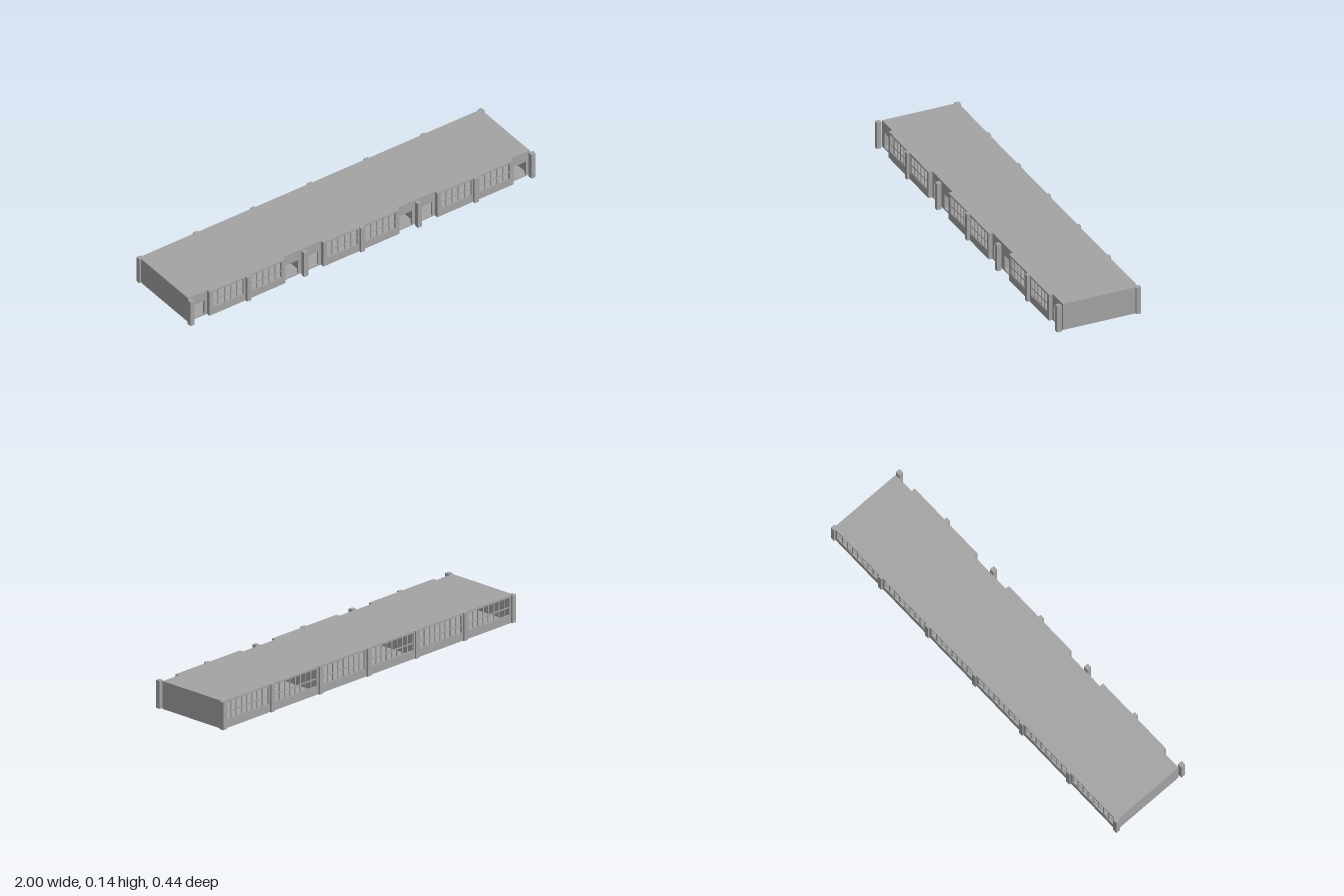
import * as THREE from 'three';

const H = 0.14;          // overall height
const SLAB = 0.006;      // floor and roof thickness
const WALL = 0.01;       // wall thickness
const PITCH = 0.0356;    // window pane spacing
const BAR = 0.006;       // glazing bar width
const SILL = 0.04, HEAD = 0.131, TRANSOM = 0.079;
const UNIT = 0.66;       // width of one building unit
const FRONT = 0.205, RECESS = 0.185, BACK = -0.21;

const grey = new THREE.MeshStandardMaterial({ color: 0xa3a3a3 });
grey.name = 'plain grey';

function add(parent, name, geometry, x = 0, y = 0, z = 0) {
  const mesh = new THREE.Mesh(geometry, grey);
  mesh.name = name;
  mesh.position.set(x, y, z);
  parent.add(mesh);
  return mesh;
}

function box(parent, name, x0, x1, y0, y1, z0, z1) {
  return add(parent, name, new THREE.BoxGeometry(x1 - x0, y1 - y0, z1 - z0),
    (x0 + x1) / 2, (y0 + y1) / 2, (z0 + z1) / 2);
}

function trace(path, points) {
  path.setFromPoints(points.map(([x, y]) => new THREE.Vector2(x, y)));
  return path;
}

const rect = (x0, x1, y0, y1) => [[x0, y0], [x1, y0], [x1, y1], [x0, y1]];

// Upright wall with rectangular openings, z being its rear face
function wall(parent, name, x0, x1, z, openings) {
  const shape = trace(new THREE.Shape(), rect(x0, x1, SLAB, H - SLAB));
  for (const o of openings) shape.holes.push(trace(new THREE.Path(), rect(...o)));
  add(parent, name, new THREE.ExtrudeGeometry(shape, { depth: WALL, bevelEnabled: false }), 0, 0, z);
}

// Thin two-row grid of panes set into an opening
function windowFrame(parent, name, x0, columns, z) {
  const x1 = x0 + columns * PITCH;
  const shape = trace(new THREE.Shape(), rect(x0, x1, SILL, HEAD));
  for (let i = 0; i < columns; i++) {
    const a = x0 + i * PITCH + BAR / 2, b = a + PITCH - BAR;
    for (const [low, high] of [[SILL + BAR / 2, TRANSOM - BAR / 2], [TRANSOM + BAR / 2, HEAD - BAR / 2]]) {
      shape.holes.push(trace(new THREE.Path(), rect(a, b, low, high)));
    }
  }
  add(parent, name, new THREE.ExtrudeGeometry(shape, { depth: 0.004, bevelEnabled: false }), 0, 0, z);
}

// One symmetrical unit: two window bays between two recessed entrances
function makeUnit(index) {
  const unit = new THREE.Group();
  unit.name = 'buildingUnit';
  const inner = 0.0225;
  const frontEnd = inner + 5 * PITCH, backEnd = inner + 8 * PITCH;

  wall(unit, 'frontWall', -0.22, 0.22, FRONT - WALL,
    [[-frontEnd, -inner, SILL, HEAD], [inner, frontEnd, SILL, HEAD]]);
  wall(unit, 'backWall', -UNIT / 2, UNIT / 2, BACK,
    [[-backEnd, -inner, SILL, HEAD], [inner, backEnd, SILL, HEAD]]);

  for (const s of [-1, 1]) {
    windowFrame(unit, 'frontWindow', s > 0 ? inner : -frontEnd, 5, FRONT - 0.007);
    windowFrame(unit, 'backWindow', s > 0 ? inner : -backEnd, 8, BACK + 0.003);

    // Recessed entrance with an open doorway, and the return wall beside it
    const span = (a, b) => (s > 0 ? [a, b] : [-b, -a]);
    wall(unit, 'entranceWall', ...span(0.21, UNIT / 2), RECESS - WALL,
      [[...span(0.236, backEnd), SLAB + 0.001, 0.084]]);
    box(unit, 'returnWall', ...span(0.21, 0.22), SLAB, H - SLAB, RECESS, FRONT - WALL);
  }
  unit.position.x = index * UNIT;
  return unit;
}

// Floor or roof plate following the stepped front
function slab(parent, name, top) {
  const points = [[-0.99, BACK], [0.99, BACK]];
  for (const i of [1, 0, -1]) {
    const c = i * UNIT;
    points.push([c + 0.33, RECESS], [c + 0.22, RECESS], [c + 0.22, FRONT],
      [c - 0.22, FRONT], [c - 0.22, RECESS]);
  }
  points.push([-0.99, RECESS]);
  const geometry = new THREE.ExtrudeGeometry(trace(new THREE.Shape(), points),
    { depth: SLAB, bevelEnabled: false });
  geometry.rotateX(Math.PI / 2);
  add(parent, name, geometry, 0, top, 0);
}

export function createModel() {
  const model = new THREE.Group();
  model.name = 'longBuilding';

  slab(model, 'floor', SLAB);
  slab(model, 'roof', H);
  for (const i of [-1, 0, 1]) model.add(makeUnit(i));

  // End walls and the partitions between units
  for (const s of [-1, 1]) {
    const [a, b] = s > 0 ? [0.98, 0.99] : [-0.99, -0.98];
    box(model, 'endWall', a, b, SLAB, H - SLAB, BACK, RECESS);
    box(model, 'partition', s * 0.33 - 0.004, s * 0.33 + 0.004, SLAB, H - SLAB,
      BACK + WALL, RECESS - WALL);
  }

  // Pillars along front and back
  for (let i = -3; i <= 3; i++) {
    const x = i * 0.3293;
    box(model, 'frontPillar', x - 0.012, x + 0.012, 0, H, 0.195, 0.219);
    box(model, 'backPillar', x - 0.012, x + 0.012, 0, H, -0.219, -0.195);
  }
  return model;
}
